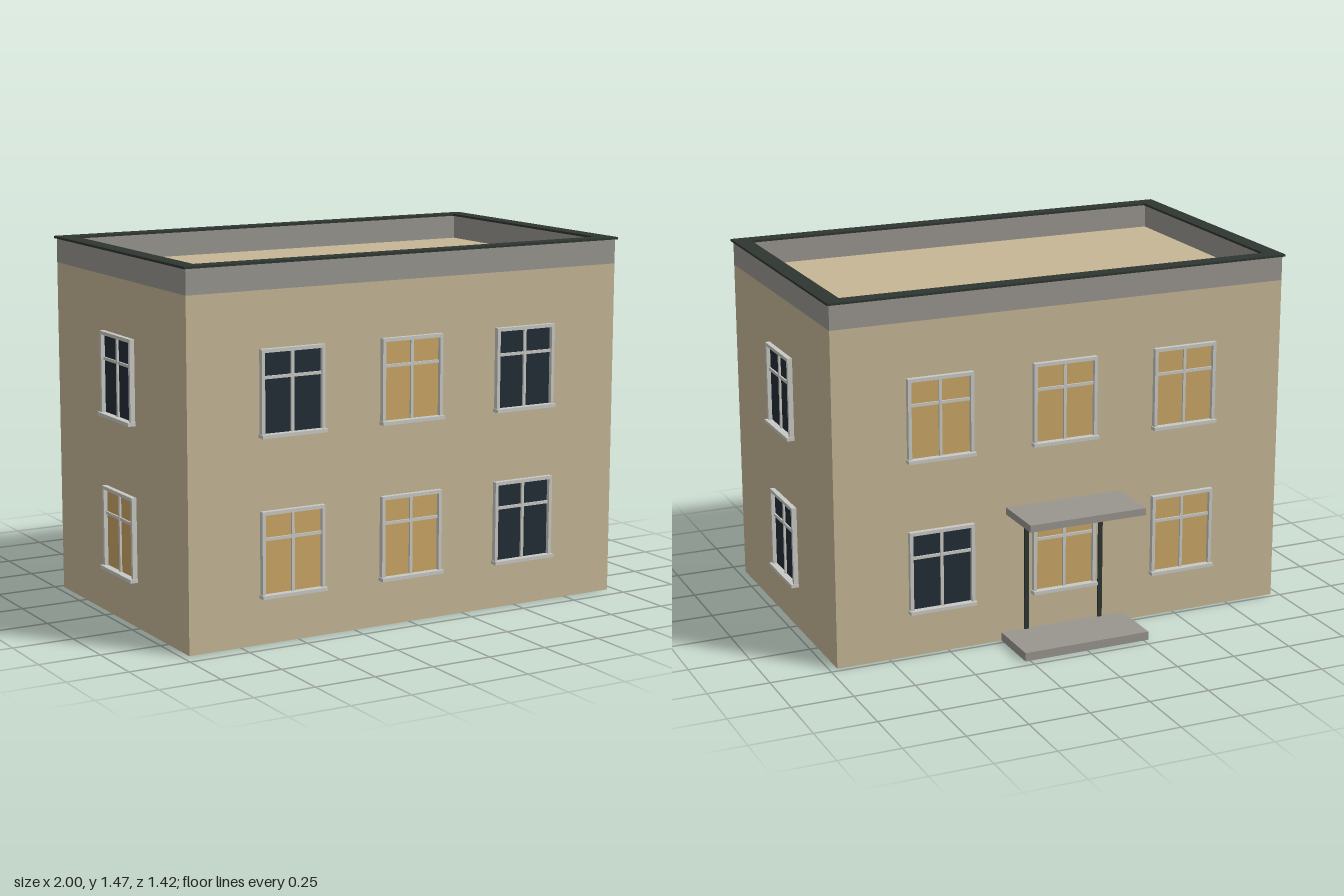
import * as THREE from 'three';

const W = 0.968, ZF = 0.681, ZB = -0.479, ZC = (ZF + ZB) / 2, WALL_TOP = 1.36;

const mat = (name, color, extra) => Object.assign(new THREE.MeshStandardMaterial({ color }), { name });
const wall = mat('sand plaster', 0xc6b696);
const concrete = mat('grey concrete', 0x999690);
const trim = mat('dark trim', 0x2f3731);
const frameMat = mat('pale frame', 0xc9c9c5);
const darkGlass = mat('dark glass', 0x222c36);
const litGlass = mat('lit glass', 0xcaa665);

// Box given by its minimum and maximum corners
function box(name, material, [x0, y0, z0], [x1, y1, z1]) {
  const mesh = new THREE.Mesh(new THREE.BoxGeometry(x1 - x0, y1 - y0, z1 - z0), material);
  mesh.position.set((x0 + x1) / 2, (y0 + y1) / 2, (z0 + z1) / 2);
  mesh.name = name;
  return mesh;
}

// Rectangular ring lying flat, extruded upward from y0 to y1
function ring(name, material, hx, hz, ix, iz, y0, y1) {
  const rect = (Type, a, b) => {
    const p = new Type();
    p.moveTo(-a, -b).lineTo(a, -b).lineTo(a, b).lineTo(-a, b).closePath();
    return p;
  };
  const shape = rect(THREE.Shape, hx, hz);
  shape.holes.push(rect(THREE.Path, ix, iz));
  const geo = new THREE.ExtrudeGeometry(shape, { depth: y1 - y0, bevelEnabled: false });
  geo.rotateX(-Math.PI / 2);
  const mesh = new THREE.Mesh(geo, material);
  mesh.position.set(0, y0, ZC);
  mesh.name = name;
  return mesh;
}

// Window facing +z, origin on the wall at the bottom of the sill
function makeWindow(lit) {
  const g = new THREE.Group();
  g.name = lit ? 'litWindow' : 'darkWindow';
  const w = 0.137, t = 0.014, h = 0.337, d = 0.02;
  g.add(
    box('glass', lit ? litGlass : darkGlass, [-w + t, t, 0], [w - t, h - t, 0.004]),
    box('frameTop', frameMat, [-w, h - t, 0], [w, h, d]),
    box('sill', frameMat, [-0.141, 0, 0], [0.141, t, 0.032]),
    box('mullion', frameMat, [-0.006, t, 0], [0.006, h - t, 0.012]),
    box('transom', frameMat, [-w + t, 0.222, 0], [w - t, 0.234, 0.011]),
  );
  for (const s of [-1, 1]) {
    const x = s * (w - t / 2);
    g.add(box('frameSide', frameMat, [x - t / 2, t, 0], [x + t / 2, h - t, d]));
  }
  return g;
}

export function createModel() {
  const model = new THREE.Group();
  model.name = 'house';

  // Main volume with flat roof, parapet and dark coping
  model.add(
    box('walls', wall, [-W, 0, ZB], [W, WALL_TOP, ZF]),
    ring('parapet', concrete, W, 0.58, 0.918, 0.53, WALL_TOP, 1.458),
    ring('coping', trim, 0.977, 0.589, 0.908, 0.525, 1.458, 1.467),
  );

  // Windows per wall: [offset along wall, lit below, lit above]
  const walls = [
    { name: 'front', pos: [0, ZF], turn: 0, list: [[-0.528, 1, 0], [0, 1, 1], [0.528, 0, 0]] },
    { name: 'back', pos: [0, ZB], turn: Math.PI, list: [[-0.528, 0, 1], [0, 1, 1], [0.528, 1, 1]] },
    { name: 'plusX', pos: [W, ZC], turn: Math.PI / 2, list: [[0, 0, 0]] },
    { name: 'minusX', pos: [-W, ZC], turn: -Math.PI / 2, list: [[0, 1, 0]] },
  ];
  for (const { name, pos, turn, list } of walls) {
    const side = new THREE.Group();
    side.name = name + 'Windows';
    side.position.set(pos[0], 0, pos[1]);
    side.rotation.y = turn;
    for (const [x, ...floors] of list) {
      floors.forEach((lit, i) => {
        const win = makeWindow(lit);
        win.position.set(x, i ? 0.803 : 0.183, 0);
        side.add(win);
      });
    }
    model.add(side);
  }

  // Back entrance: step, canopy and slim dark door surround
  const entrance = new THREE.Group();
  entrance.name = 'entrance';
  entrance.add(
    box('step', concrete, [-0.27, 0, -0.712], [0.27, 0.035, ZB]),
    box('canopy', concrete, [-0.25, 0.533, -0.712], [0.25, 0.562, ZB]),
    box('doorLintel', trim, [-0.17, 0.465, ZB - 0.007], [0.17, 0.49, ZB]),
  );
  for (const s of [-1, 1]) {
    entrance.add(box('doorPost', trim, [s * 0.163 - 0.009, 0, ZB - 0.008], [s * 0.163 + 0.009, 0.49, ZB]));
  }
  model.add(entrance);
  return model;
}
